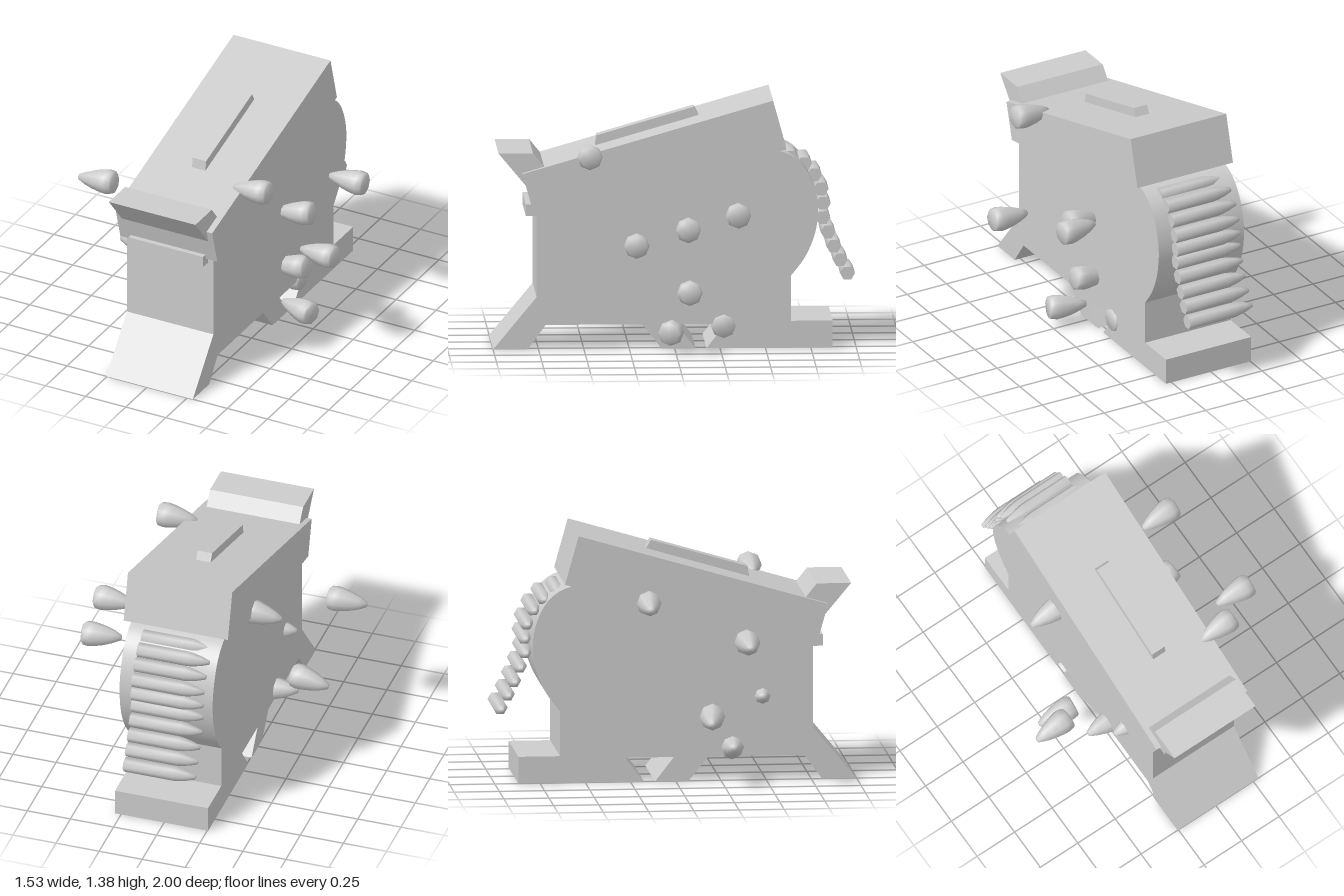
import * as THREE from 'three';
import { toCreasedNormals } from 'three/addons/utils/BufferGeometryUtils.js';

const grey = new THREE.MeshStandardMaterial({ color: 0xcccccc });
const MID = 0.015; // centre of the receiver in x

function add(parent, geometry, name) {
  const mesh = new THREE.Mesh(geometry, grey);
  mesh.name = name;
  parent.add(mesh);
  return mesh;
}

// Extrude a (z, y) side outline across x
function slab(shape, x0, x1) {
  const g = new THREE.ExtrudeGeometry(shape, { depth: x1 - x0, bevelEnabled: false, curveSegments: 10 });
  g.rotateY(-Math.PI / 2).translate(x1, 0, 0);
  return toCreasedNormals(g, 0.5);
}

function outline(points) {
  return new THREE.Shape(points.map(([z, y]) => new THREE.Vector2(z, y)));
}

// Turned round lying along x: tip at x = 0, base towards +x
function turned(profile, sides, crease) {
  const pts = profile.map(([r, x]) => new THREE.Vector2(r, x)).reverse();
  const g = new THREE.LatheGeometry(pts, sides);
  // lathe runs base to tip, so flip it to keep faces outward
  g.scale(1, -1, 1).rotateZ(Math.PI / 2);
  g.index.array.reverse();
  g.rotateY(Math.PI);
  g.computeBoundingBox();
  const b = g.boundingBox;
  g.translate(-b.min.x, 0, 0);
  return orient(toCreasedNormals(g, crease));
}

// Make a convex-ish turned solid face outward and put its tip at x = 0
function orient(g) {
  const p = g.attributes.position;
  const a = new THREE.Vector3(), b = new THREE.Vector3(), c = new THREE.Vector3();
  let volume = 0, tipIsAtZero = false;
  for (let i = 0; i < p.count; i += 3) {
    a.fromBufferAttribute(p, i);
    b.fromBufferAttribute(p, i + 1);
    c.fromBufferAttribute(p, i + 2);
    volume += a.dot(b.cross(c));
  }
  let r = 0;
  for (let i = 0; i < p.count; i++) if (p.getX(i) < 0.01) r = Math.max(r, Math.hypot(p.getY(i), p.getZ(i)));
  tipIsAtZero = r < 0.03;
  if (!tipIsAtZero) {
    g.computeBoundingBox();
    g.rotateY(Math.PI).translate(g.boundingBox.max.x, 0, 0);
    g.computeBoundingBox();
    g.translate(-g.boundingBox.min.x, 0, 0);
  }
  if (volume < 0) {
    const n = g.attributes.normal;
    for (let i = 0; i < p.count; i += 3) {
      for (const attr of [p, n]) {
        a.fromBufferAttribute(attr, i + 1);
        b.fromBufferAttribute(attr, i + 2);
        attr.setXYZ(i + 1, b.x, b.y, b.z);
        attr.setXYZ(i + 2, a.x, a.y, a.z);
      }
    }
    for (let i = 0; i < n.count; i++) n.setXYZ(i, -n.getX(i), -n.getY(i), -n.getZ(i));
  }
  return g;
}

export function createModel() {
  const model = new THREE.Group();
  model.name = 'ammoFeedBlock';

  // Receiver: front foot, slanted middle foot, rear base and rounded feed hump
  const body = outline([
    [0.76, 0.8], [0.76, 0.29], [1, 0], [0.81, 0], [0.71, 0.135],
    [0.18, 0.135], [0.07, 0], [-0.115, 0], [-0.01, 0.135],
    [-0.28, 0.135], [-0.175, 0], [-0.87, 0], [-0.87, 0.15], [-0.64, 0.15], [-0.64, 0.4],
  ]);
  body.splineThru([[-0.715, 0.5], [-0.765, 0.61], [-0.788, 0.72], [-0.787, 0.82],
    [-0.76, 0.92], [-0.71, 1.01], [-0.64, 1.07], [-0.56, 1.1]].map(([z, y]) => new THREE.Vector2(z, y)));
  body.lineTo(-0.4, 1.1);
  body.lineTo(0.7, 0.85);
  add(model, slab(body, -0.255, 0.285), 'receiver');

  // Sloping top cover
  add(model, slab(outline([[0.84, 0.98], [-0.54, 1.38], [-0.615, 1.11], [0.28, 0.855], [0.78, 0.77]]),
    -0.285, 0.32), 'topCover');

  // Raised rail on the cover
  add(model, slab(outline([[0.42, 1.155], [-0.115, 1.31], [-0.14, 1.265], [0.43, 1.09]]),
    -0.026, 0.058), 'topRail');

  // Flared lip and the small bar below it
  add(model, slab(outline([[0.97, 1.09], [0.78, 1.09], [0.715, 1.01], [0.82, 0.91]]), -0.255, 0.285), 'frontLip');
  const bar = add(model, new THREE.BoxGeometry(0.465, 0.065, 0.1), 'frontBar');
  bar.position.set(MID + 0.003, 0.768, 0.768);

  // Belt of cartridges over the hump
  const cartridge = turned([[0, 0], [0.012, 0.004], [0.027, 0.05], [0.036, 0.09], [0.041, 0.125],
    [0.041, 0.415], [0, 0.415]], 6, 1.2);
  const belt = new THREE.Group();
  belt.name = 'cartridgeBelt';
  model.add(belt);
  [[-0.64, 1.045], [-0.718, 1.01], [-0.773, 0.948], [-0.81, 0.87], [-0.822, 0.79],
    [-0.82, 0.71], [-0.848, 0.63], [-0.88, 0.55], [-0.915, 0.475], [-0.955, 0.4]].forEach(([z, y]) => {
    add(belt, cartridge, 'cartridge').position.set(-0.215, y, z);
  });

  // Loose slugs in flight, all pointing to -x: tip x, centre y, centre z, roll, yaw
  const slug = turned([[0, 0], [0.016, 0.005], [0.036, 0.045], [0.054, 0.095], [0.066, 0.145],
    [0.071, 0.18], [0.066, 0.212], [0.056, 0.222], [0, 0.222]], 8, 1.1);
  const slugs = new THREE.Group();
  slugs.name = 'looseSlugs';
  model.add(slugs);
  [
    [0.258, 1.085, 0.475, 0.06, 0.05], [0.54, 0.635, 0.225, 0.02, -0.03],
    [0.24, 0.67, -0.065, 0.13, 0.1], [0.425, 0.785, -0.335, -0.03, 0.06],
    [0.2, 0.315, -0.08, 0.13, 0], [0.3, 0.115, 0.015, 0, -0.25],
    [0.075, 0.125, -0.27, -0.05, 0], [-0.445, 0.995, -0.15, 0.12, 0],
    [-0.765, 0.82, 0.365, 0.06, 0.05], [-0.61, 0.38, 0.18, 0.12, -0.1],
    [-0.385, 0.185, 0.315, -0.1, 0], [-0.322, 0.465, 0.48, -0.05, 0],
  ].forEach(([x, y, z, roll, yaw]) => {
    const s = add(slugs, slug, 'slug');
    s.rotation.set(0, yaw, roll);
    s.position.set(x, y - 0.13 * roll, z + 0.13 * yaw);
  });

  return model;
}
